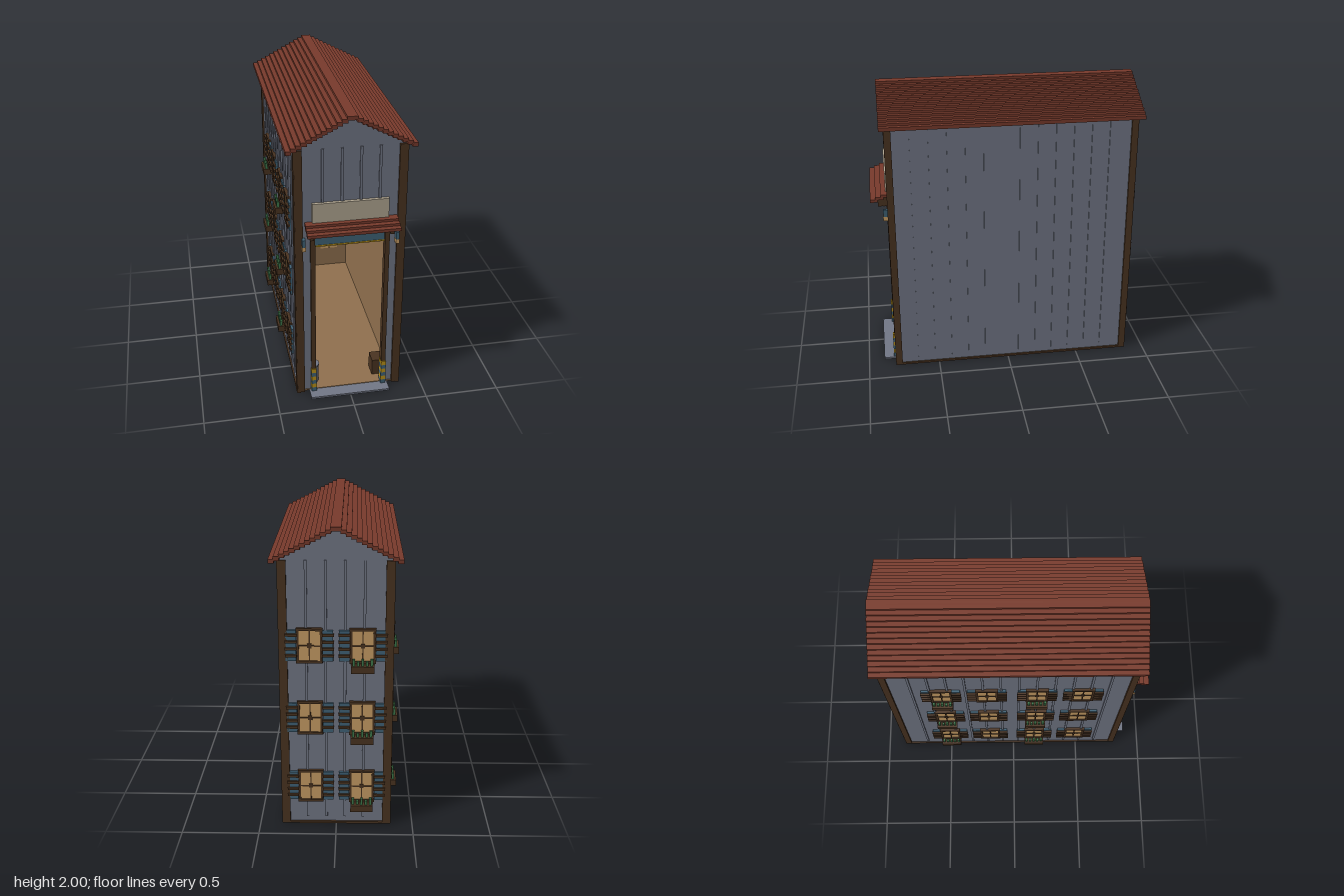
import * as THREE from 'three';

const material = (name, color) => {
  const m = new THREE.MeshStandardMaterial({ color });
  m.name = name;
  return m;
};

export function createModel() {
  const M = {
    wall: material('slate cladding', 0x737887),
    roof: material('red roof', 0x793b2c),
    wood: material('dark timber', 0x4b3421),
    tan: material('tan interior', 0x91714f),
    yellow: material('yellow paint', 0xbd941a),
    pane: material('warm window', 0xcba066),
    teal: material('teal paint', 0x416478),
    sign: material('beige board', 0xb3a893),
    leaf: material('green leaves', 0x3f7a4c),
  };
  const model = new THREE.Group();
  const group = (name, parent = model) => {
    const g = new THREE.Group();
    g.name = name;
    parent.add(g);
    return g;
  };
  // Box given by its limits on each axis
  const box = (parent, name, mat, x0, x1, y0, y1, z0, z1) => {
    const mesh = new THREE.Mesh(new THREE.BoxGeometry(x1 - x0, y1 - y0, z1 - z0), mat);
    mesh.position.set((x0 + x1) / 2, (y0 + y1) / 2, (z0 + z1) / 2);
    mesh.name = name;
    parent.add(mesh);
    return mesh;
  };

  // Floor, base trim and doorstep
  const base = group('base');
  box(base, 'underside', M.wood, -0.31, 0.31, 0, 0.008, -0.82, 0.79);
  box(base, 'floor', M.tan, -0.33, 0.33, 0.008, 0.018, -0.84, 0.80);
  for (const s of [-1, 1]) {
    box(base, 'sideTrim', M.wood, s * 0.342 - 0.013, s * 0.342 + 0.013, 0, 0.014, -0.868, 0.81);
  }
  box(base, 'backTrim', M.wood, -0.35, 0.35, 0, 0.014, -0.868, -0.84);
  box(base, 'doorstep', M.wall, -0.27, 0.27, 0, 0.014, 0.79, 0.89);

  // Gable walls, the front one cut out for the doorway
  const walls = group('walls');
  const gable = (name, door, z) => {
    const s = new THREE.Shape();
    s.moveTo(-0.343, 0.005);
    if (door) {
      s.lineTo(-0.23, 0.005);
      s.lineTo(-0.23, 1.215);
      s.lineTo(0.23, 1.215);
      s.lineTo(0.23, 0.005);
    }
    s.lineTo(0.343, 0.005);
    s.lineTo(0.343, 1.805);
    s.lineTo(0, 1.975);
    s.lineTo(-0.343, 1.805);
    const mesh = new THREE.Mesh(new THREE.ExtrudeGeometry(s, { depth: 0.025, bevelEnabled: false }), M.wall);
    mesh.position.z = z;
    mesh.name = name;
    walls.add(mesh);
  };
  gable('frontWall', true, 0.77);
  gable('backWall', false, -0.855);
  box(walls, 'backLining', M.tan, -0.32, 0.32, 0.018, 1.8, -0.83, -0.82);
  for (const s of [-1, 1]) {
    box(walls, 'sideWall', M.wall, s * 0.333 - 0.011, s * 0.333 + 0.011, 0.005, 1.8, -0.85, 0.79);
    box(walls, 'sideLining', M.tan, s * 0.317 - 0.005, s * 0.317 + 0.005, 0.018, 1.8, -0.83, 0.77);
  }

  // Vertical battens
  for (let i = 0; i < 12; i++) {
    const z = 0.64 - i * 0.1205;
    for (const s of [-1, 1]) {
      box(walls, 'sideBatten', M.wall, s * 0.347 - 0.005, s * 0.347 + 0.005, 0.05, 1.79, z - 0.008, z + 0.008);
    }
  }
  for (let i = 0; i < 4; i++) {
    const x = -0.175 + i * 0.12;
    box(walls, 'frontBatten', M.wall, x - 0.008, x + 0.008, 1.3, 1.79, 0.79, 0.803);
    box(walls, 'backBatten', M.wall, x - 0.008, x + 0.008, 0.05, 1.79, -0.863, -0.85);
  }

  // Corner posts in two overlapping boards
  const posts = group('cornerPosts');
  for (const s of [-1, 1]) for (const [z, d] of [[0.79, 1], [-0.85, -1]]) {
    const p = group('cornerPost', posts);
    box(p, 'sideBoard', M.wood, s * 0.345 - 0.012, s * 0.345 + 0.012, 0.005, 1.79, z - d * 0.005 - 0.022, z - d * 0.005 + 0.022);
    box(p, 'faceBoard', M.wood, s * 0.327 - 0.025, s * 0.327 + 0.025, 0.005, 1.79, z + d * 0.008 - 0.012, z + d * 0.008 + 0.012);
  }

  // Stepped roof
  const roof = group('roof');
  for (let i = 0; i < 13; i++) for (const s of [-1, 1]) {
    const x = s * (0.387 - i * 0.031), y = 1.78 + i * 0.01625;
    box(roof, 'roofSlat', M.roof, x - 0.018, x + 0.018, y, y + 0.025, -0.9, 0.84);
  }

  // Doorway: frame, striped guards and raised shutter
  const door = group('doorway');
  for (const s of [-1, 1]) {
    box(door, 'doorPost', M.wood, s * 0.24 - 0.015, s * 0.24 + 0.015, 0.014, 1.22, 0.765, 0.812);
    for (let i = 0; i < 6; i++) {
      box(door, 'guardStripe', i % 2 ? M.yellow : M.teal, s * 0.24 - 0.017, s * 0.24 + 0.017,
        0.014 + i * 0.03, 0.044 + i * 0.03, 0.763, 0.822);
    }
  }
  box(door, 'lintel', M.wood, -0.27, 0.27, 1.21, 1.24, 0.765, 0.835);
  box(door, 'rollShutter', M.teal, -0.225, 0.225, 1.13, 1.215, 0.775, 0.79);
  box(door, 'shutterEdge', M.yellow, -0.225, 0.225, 1.122, 1.132, 0.773, 0.794);

  // Canopy over the door with the board above it
  const canopy = group('canopy');
  for (let i = 0; i < 3; i++) {
    box(canopy, 'canopySlat', M.roof, -0.29, 0.3, 1.285 - i * 0.016, 1.305 - i * 0.016, 0.79 + i * 0.04, 0.85 + i * 0.035);
  }
  for (const s of [-1, 1]) {
    box(canopy, 'bracket', M.wood, s * 0.255 - 0.012, s * 0.255 + 0.012, 1.21, 1.285, 0.79, 0.87);
  }
  box(canopy, 'blankBoard', M.sign, -0.243, 0.243, 1.3, 1.435, 0.79, 0.818);

  // Lanterns either side of the door
  for (const s of [-1, 1]) {
    const lamp = group('lantern');
    lamp.position.x = s * 0.3;
    box(lamp, 'lanternMount', M.teal, -0.01, 0.01, 1.15, 1.2, 0.8, 0.838);
    box(lamp, 'lanternGlass', M.pane, -0.012, 0.012, 1.12, 1.15, 0.808, 0.84);
  }

  // Mezzanines with yellow railings
  for (const y of [0.455, 0.905]) {
    const m = group('mezzanine');
    box(m, 'deck', M.tan, -0.32, 0.32, y, y + 0.015, -0.82, -0.4);
    for (const h of [0.012, 0.138]) box(m, 'rail', M.yellow, -0.32, 0.32, y + h, y + h + 0.01, -0.41, -0.4);
    for (let i = 0; i < 6; i++) {
      const x = -0.295 + i * 0.12;
      box(m, 'railPost', M.yellow, x - 0.006, x + 0.006, y + 0.01, y + 0.145, -0.412, -0.4);
    }
  }

  // Bin and crate inside the doorway
  const bin = group('bin');
  bin.position.set(-0.235, 0, 0.7);
  for (const [r, y, h] of [[0.045, 0.083, 0.13], [0.05, 0.152, 0.012]]) {
    const c = new THREE.Mesh(new THREE.CylinderGeometry(r, r, h, 10), M.wall);
    c.position.y = y;
    c.name = 'binPart';
    bin.add(c);
  }
  const crate = group('crate');
  box(crate, 'crateBody', M.wood, 0.185, 0.29, 0.018, 0.135, 0.62, 0.72);

  // Window facing local +z, wall surface at z = 0; w is the half width of the pane
  const addWindow = (x, y, z, turn, w, sw, planter) => {
    const g = group('window');
    g.position.set(x, y, z);
    g.rotation.y = turn;
    box(g, 'pane', M.pane, -w, w, -0.1, 0.1, -0.042, 0.012);
    for (const [z0, z1] of [[-0.048, -0.041], [0.011, 0.017]]) {
      box(g, 'mullion', M.wood, -0.004, 0.004, -0.1, 0.1, z0, z1);
      box(g, 'crossbar', M.wood, -w, w, -0.004, 0.004, z0, z1);
      box(g, 'latch', M.wood, -0.013, 0.013, -0.014, 0.014, z0, z1);
    }
    for (const s of [-1, 1]) {
      box(g, 'jamb', M.wood, s * w - 0.007, s * w + 0.007, -0.105, 0.105, 0, 0.018);
      box(g, 'headAndSill', M.wood, -w - 0.01, w + 0.01, s * 0.106 - 0.008, s * 0.106 + 0.008, 0, 0.02);
      const c = s * (w + 0.01 + sw / 2);
      box(g, 'shutter', M.teal, c - sw / 2, c + sw / 2, -0.1, 0.1, 0, 0.015);
      for (let i = 0; i < 4; i++) {
        const h = -0.063 + i * 0.045;
        box(g, 'shutterSlat', M.wood, c - sw / 2 - 0.004, c + sw / 2 + 0.004, h - 0.008, h + 0.008, 0.01, 0.028);
      }
    }
    if (!planter) return;
    // Flower box with leaves
    box(g, 'flowerBox', M.wood, -0.073, 0.073, -0.165, -0.12, 0, 0.06);
    for (let i = 0; i < 5; i++) {
      const px = -0.056 + i * 0.028;
      box(g, 'plant', M.leaf, px - 0.008, px + 0.008, -0.125, i % 2 ? -0.092 : -0.077, 0.028, 0.046);
    }
  };
  for (const y of [0.28, 0.765, 1.25]) {
    addWindow(-0.165, y, -0.855, Math.PI, 0.072, 0.065, true);
    addWindow(0.165, y, -0.855, Math.PI, 0.072, 0.065, false);
    [-0.49, -0.18, 0.16, 0.47].forEach((z, i) =>
      addWindow(-0.344, y, z, -Math.PI / 2, 0.066, 0.055, i % 2 === 0));
  }
  return model;
}
